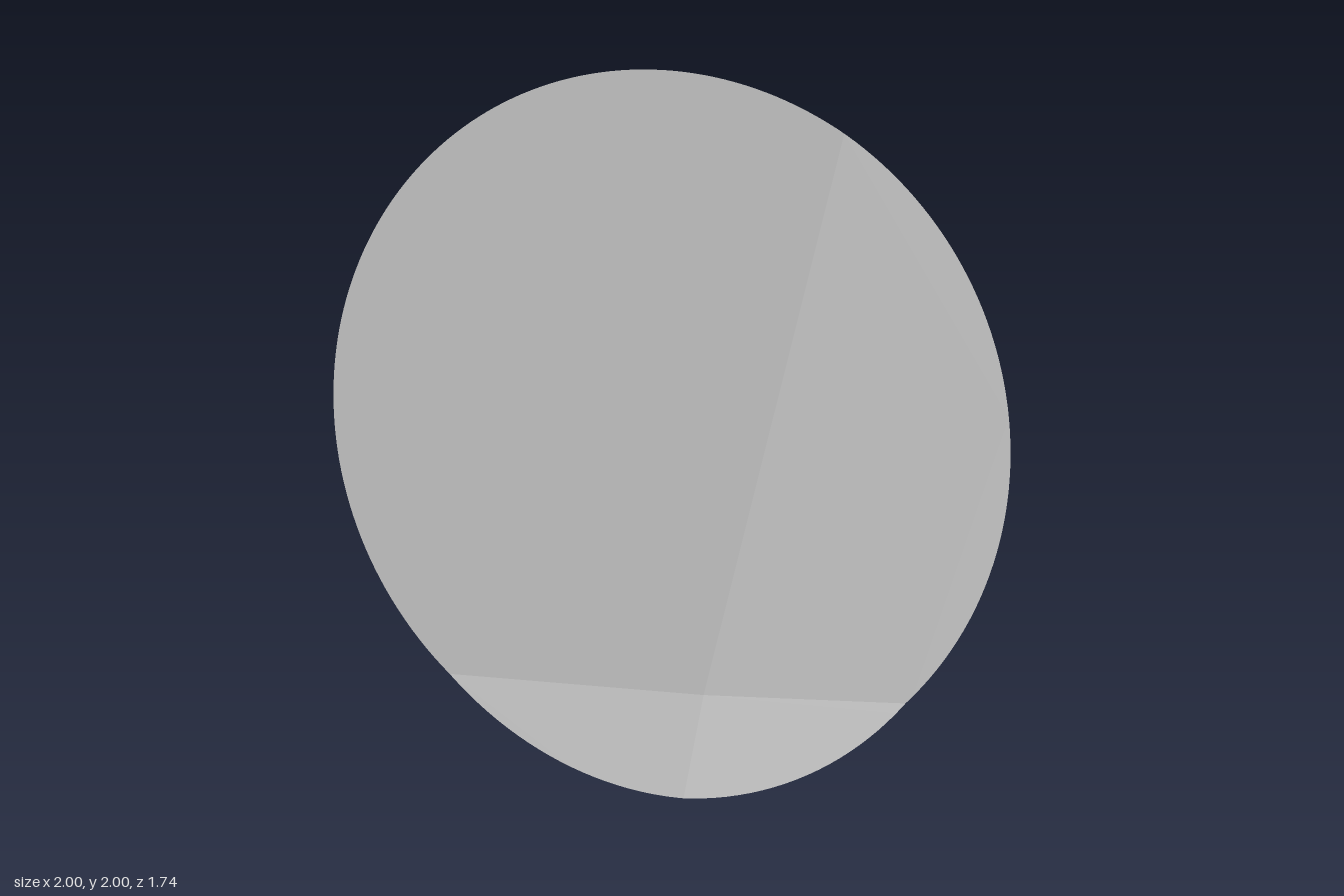
import * as THREE from 'three';

const SEG = 192, BACK = -0.875, HOLE_R = 0.35, HOLE_END = -0.15;

// the two creases that divide the slanted front (positive on one side)
const steepCrease = (x, v) => x - 0.31 * v - 0.355;
const lowCrease = (x, v) => -0.771 + 0.0315 * x - v;

// depth of the faceted front at x and height v above the axis
function frontZ(x, v) {
  return 0.165 + 0.45 * x - 0.55 * v
    - 0.14 * Math.max(0, steepCrease(x, v))
    + 0.4 * Math.max(0, lowCrease(x, v));
}

// keep the part of a convex polygon where side(x, v) * sign >= 0
function clip(points, side, sign) {
  const out = [];
  points.forEach((p, i) => {
    const q = points[(i + 1) % points.length];
    const a = side(p.x, p.y) * sign, b = side(q.x, q.y) * sign;
    if (a >= 0) out.push(p);
    if (a * b < 0) out.push(p.clone().lerp(q, a / (a - b)));
  });
  return out;
}

// one flat facet, fanned from its first corner
function facet(points) {
  const pos = [];
  for (let i = 1; i < points.length - 1; i++) {
    for (const p of [points[0], points[i], points[i + 1]]) {
      pos.push(p.x, p.y, frontZ(p.x, p.y));
    }
  }
  const g = new THREE.BufferGeometry();
  g.setAttribute('position', new THREE.Float32BufferAttribute(pos, 3));
  g.computeVertexNormals();
  return g;
}

export function createModel() {
  const group = new THREE.Group();
  group.name = 'slantedKnob';
  const body = new THREE.Group();
  body.position.y = 1;
  group.add(body);

  const grey = new THREE.MeshStandardMaterial({ color: 0xc0c0c0 });
  grey.name = 'grey';
  const greyInside = grey.clone();
  greyInside.name = 'grey';
  greyInside.side = THREE.BackSide;

  const add = (geometry, name, material = grey) => {
    const mesh = new THREE.Mesh(geometry, material);
    mesh.name = name;
    body.add(mesh);
    return mesh;
  };

  // round wall, its front rim pulled onto the slanted facets
  const wall = new THREE.CylinderGeometry(1, 1, 2, SEG, 1, true).rotateX(Math.PI / 2);
  const p = wall.attributes.position;
  for (let i = 0; i < p.count; i++) {
    p.setZ(i, p.getZ(i) > 0 ? frontZ(p.getX(i), p.getY(i)) : BACK);
  }
  add(wall, 'wall');

  // four flat facets of the front
  const rim = [];
  for (let i = 0; i < SEG; i++) {
    const t = (i / SEG) * Math.PI * 2;
    rim.push(new THREE.Vector2(Math.cos(t), Math.sin(t)));
  }
  for (const s of [-1, 1]) {
    for (const l of [-1, 1]) {
      const part = clip(clip(rim, steepCrease, s), lowCrease, l);
      add(facet(part), (l < 0 ? 'upper' : 'lower') + (s < 0 ? 'Right' : 'Left') + 'Facet');
    }
  }

  // back face with a blind round hole
  const back = new THREE.RingGeometry(HOLE_R, 1, SEG, 1).rotateY(Math.PI);
  add(back, 'backFace').position.z = BACK;

  const depth = HOLE_END - BACK;
  const bore = new THREE.CylinderGeometry(HOLE_R, HOLE_R, depth, SEG, 1, true).rotateX(Math.PI / 2);
  add(bore, 'holeWall', greyInside).position.z = (BACK + HOLE_END) / 2;

  add(new THREE.CircleGeometry(HOLE_R, SEG).rotateY(Math.PI), 'holeFloor').position.z = HOLE_END;

  return group;
}
